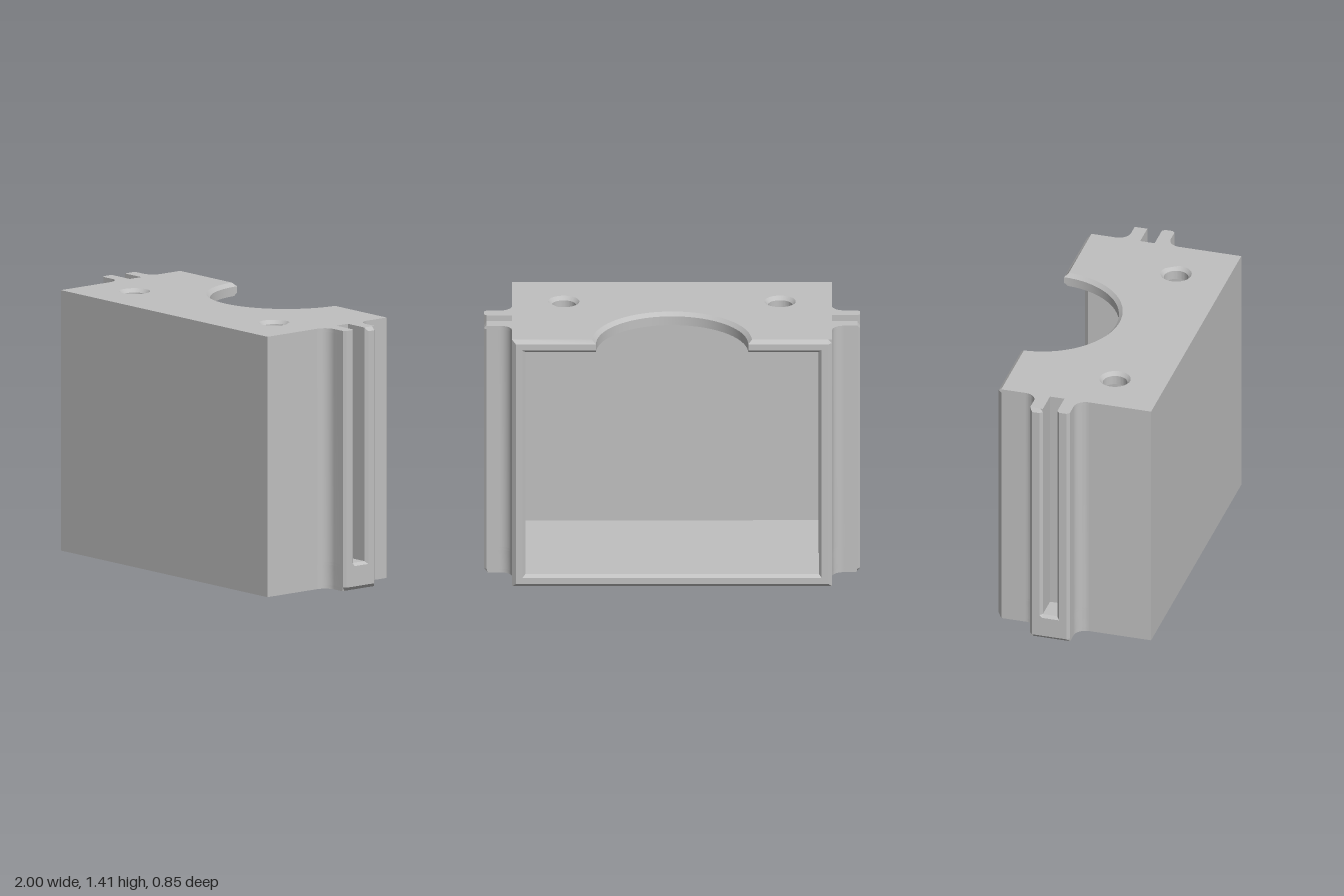
import * as THREE from 'three';
import { toCreasedNormals, mergeGeometries } from 'three/addons/utils/BufferGeometryUtils.js';

const W = 0.85, H = 1.41, D = 0.425, T = 0.07, C = 0.02; // half width, height, half depth, wall, chamfer
const HOLE_X = 0.575, HOLE_Z = 0.145, HOLE_R = 0.065, ARC_R = 0.405;

// Extrude a shape, then move its vertices by a rule
function slab(shape, depth, place, rule) {
  const g = new THREE.ExtrudeGeometry(shape, { depth, bevelEnabled: false, curveSegments: 48 });
  place(g);
  if (rule) {
    const p = g.attributes.position, v = new THREE.Vector3();
    for (let i = 0; i < p.count; i++) {
      v.fromBufferAttribute(p, i);
      rule(v);
      p.setXYZ(i, v.x, v.y, v.z);
    }
  }
  return toCreasedNormals(g, 0.5);
}

// Horizontal layer between two heights; shape y is -z
const layer = (shape, y0, y1, rule) =>
  slab(shape, y1 - y0, g => g.rotateX(-Math.PI / 2).translate(0, y0, 0), rule);

const polygon = pts => new THREE.Shape(pts.map(([x, y]) => new THREE.Vector2(x, y)));
const near = (a, b) => Math.abs(a - b) < 0.001;

// Top plate with half-round cutout and two countersunk holes
function topPlate() {
  const s = new THREE.Shape();
  s.moveTo(-W, -D);
  s.lineTo(W, -D);
  s.lineTo(W, D - C);
  s.lineTo(W - C, D);
  s.lineTo(ARC_R, D);
  s.absarc(0, D, ARC_R, 0, Math.PI, true);
  s.lineTo(-W + C, D);
  s.lineTo(-W, D - C);
  for (const m of [-1, 1]) {
    const hole = new THREE.Path();
    hole.absarc(m * HOLE_X, -HOLE_Z, HOLE_R, 0, Math.PI * 2, true);
    s.holes.push(hole);
  }
  const y0 = H - T;
  return mergeGeometries([
    layer(s, y0, y0 + 0.015, v => {
      if (near(v.y, y0)) v.z = Math.max(v.z, -D + C);
    }),
    layer(s, y0 + 0.015, H - C),
    layer(s, H - C, H, v => {
      if (!near(v.y, H)) return;
      if (Math.hypot(v.x, v.z + D) < ARC_R + 0.003) {
        const k = (ARC_R + C) / ARC_R;
        v.x *= k;
        v.z = -D + (v.z + D) * k;
      }
      const hx = Math.sign(v.x) * HOLE_X;
      if (Math.hypot(v.x - hx, v.z - HOLE_Z) < HOLE_R + 0.003) {
        const k = 0.083 / HOLE_R;
        v.x = hx + (v.x - hx) * k;
        v.z = HOLE_Z + (v.z - HOLE_Z) * k;
      }
      v.z = Math.max(v.z, -D + C);
    }),
  ]);
}

// Side walls and floor as one U, chamfered at the open back
function sidesAndFloor() {
  const top = H - T + 0.015, inner = W - T;
  const u = polygon([[-W, 0], [W, 0], [W, top], [inner, top], [inner, T], [-inner, T], [-inner, top], [-W, top]]);
  return mergeGeometries([
    slab(u, C, g => g.translate(0, 0, -D), v => {
      if (!near(v.z, -D)) return;
      const sx = Math.sign(v.x);
      if (near(Math.abs(v.x), W)) v.x = sx * (W - C);
      else v.x = sx * (inner + 0.015);
      if (near(v.y, 0)) v.y = C;
      else if (near(v.y, T)) v.y = T - 0.015;
    }),
    slab(u, 2 * D - C, g => g.translate(0, 0, -D + C)),
  ]);
}

// Side rail with filleted roots; the notch is none, mouth only, or full depth
function railShape(side, notch) {
  const pts = [[0.8, -0.08]], R = 0.065, N = 10;
  const fillet = (y, a0, a1) => {
    for (let i = 0; i <= N; i++) {
      const a = a0 + (a1 - a0) * i / N;
      pts.push([W + R + R * Math.cos(a), y + R * Math.sin(a)]);
    }
  };
  fillet(-0.08, Math.PI, Math.PI / 2);
  pts.push([0.985, -0.015], [1, 0]);
  if (notch) {
    pts.push([1, 0.04], [0.985, 0.055]);
    if (notch === 'full') pts.push([W, 0.055], [W, 0.135]);
    pts.push([0.985, 0.135], [1, 0.15]);
  }
  pts.push([1, 0.19], [0.985, 0.205]);
  fillet(0.27, Math.PI * 1.5, Math.PI);
  pts.push([0.8, 0.27]);
  return polygon(pts.map(([x, y]) => [side * x, y]));
}

function rail(side) {
  const solid = railShape(side), mouth = railShape(side, 'mouth'), slot = railShape(side, 'full');
  return mergeGeometries([
    // foot, chamfered along its lower end
    layer(solid, 0, C, v => {
      if (near(v.y, 0) && Math.abs(v.x) > 0.985) v.x = side * 0.98;
    }),
    layer(solid, C, 0.13),
    // sloping lower lip of the slot
    layer(mouth, 0.13, 0.145, v => {
      if (near(v.y, 0.13) && near(Math.abs(v.x), 0.985) && v.z < -0.03 && v.z > -0.16) v.x = side;
    }),
    layer(slot, 0.145, H - C),
    // small chamfer on the rear half of the upper end
    layer(slot, H - C, H, v => {
      if (near(v.y, H) && Math.abs(v.x) > 0.99 && v.z < -0.1) v.x = side * 0.985;
    }),
  ]);
}

export function createModel() {
  const model = new THREE.Group();
  model.name = 'slottedHousing';
  const grey = new THREE.MeshStandardMaterial({ color: 0xc0c0c0 });
  grey.name = 'plainGrey';
  const add = (name, geometry) => {
    const mesh = new THREE.Mesh(geometry, grey);
    mesh.name = name;
    model.add(mesh);
  };
  add('topPlate', topPlate());
  add('sidesAndFloor', sidesAndFloor());
  add('frontWall', new THREE.BoxGeometry(2 * W, H - T, 0.06).translate(0, (H - T) / 2, D - 0.03));
  add('leftRail', rail(1));
  add('rightRail', rail(-1));
  return model;
}
